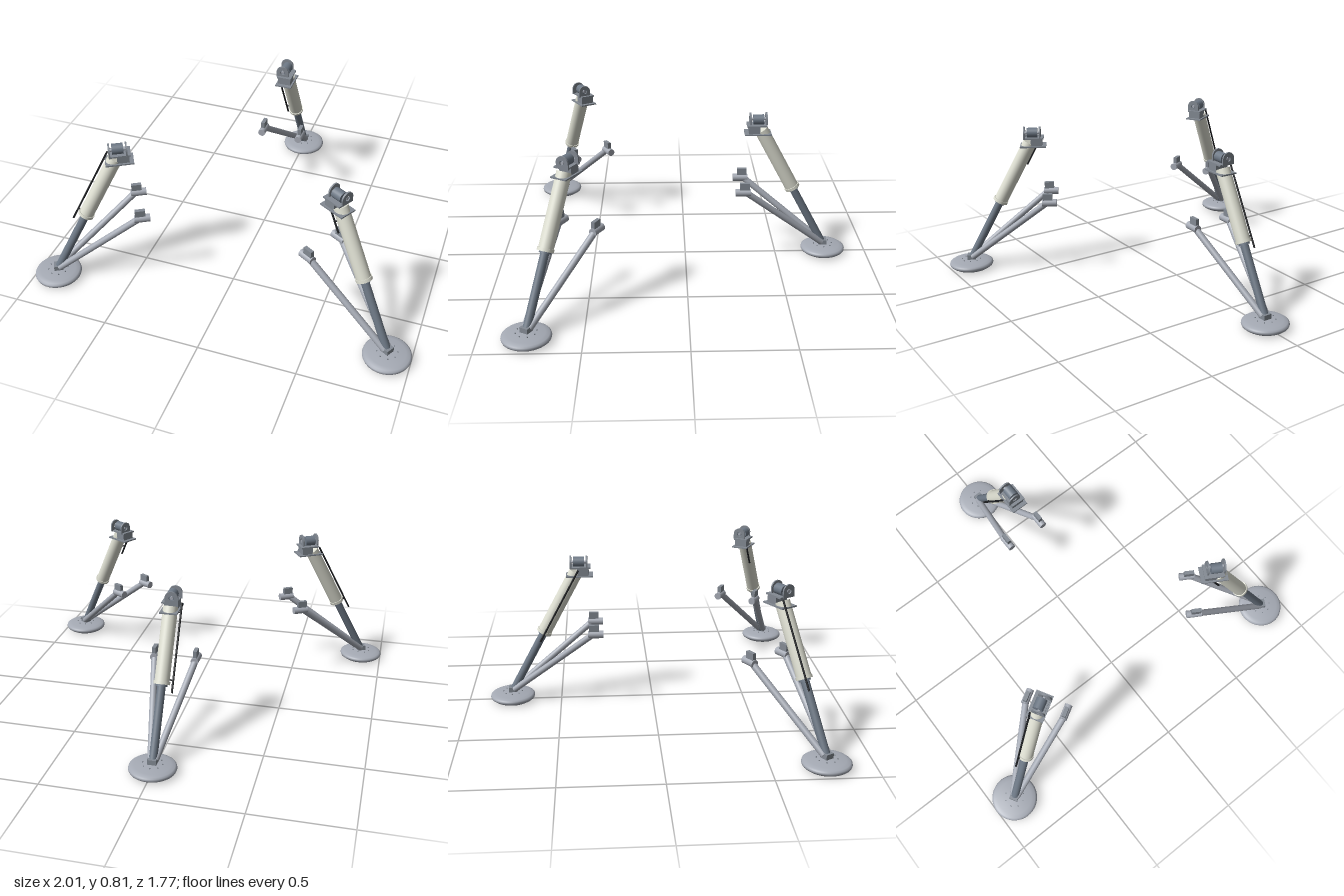
import * as THREE from 'three';

const mat = (name, color) => new THREE.MeshStandardMaterial({ name, color });
const V = (x, y, z) => new THREE.Vector3(x, y, z);
const UP = V(0, 1, 0);

export function createModel() {
  const lightGrey = mat('light grey', 0xa5aab4);
  const steel = mat('piston steel', 0x6e7986);
  const white = mat('sleeve white', 0xdedfd2);
  const bracketGrey = mat('bracket grey', 0x838a93);
  const black = mat('hose black', 0x1d1f22);

  const add = (parent, name, geometry, material, pos) => {
    const mesh = new THREE.Mesh(geometry, material);
    mesh.name = name;
    if (pos) mesh.position.copy(pos);
    parent.add(mesh);
    return mesh;
  };
  const box = (parent, name, w, h, d, material, pos) =>
    add(parent, name, new THREE.BoxGeometry(w, h, d), material, pos);
  // Cylinder running between two points
  const rod = (parent, name, a, b, r, material, sides = 24) => {
    const dir = b.clone().sub(a);
    const mesh = add(parent, name, new THREE.CylinderGeometry(r, r, dir.length(), sides),
      material, a.clone().lerp(b, 0.5));
    mesh.quaternion.setFromUnitVectors(UP, dir.normalize());
    return mesh;
  };

  // Main strut axis
  const foot = V(0, 0.045, -0.765), head = V(0, 0.74, -0.39);
  const along = (t) => foot.clone().lerp(head, t);

  // Foot pad profile: flat sole, rounded rim, shallow domed top
  const padProfile = [[0, 0.004], [0.095, 0.004], [0.108, 0.007], [0.117, 0.014], [0.12, 0.022],
    [0.118, 0.03], [0.11, 0.036], [0.09, 0.041], [0.045, 0.046], [0, 0.048]]
    .map(([x, y]) => new THREE.Vector2(x, y));

  // Round-topped lug with a pin hole
  const lugShape = new THREE.Shape();
  lugShape.moveTo(-0.034, -0.03);
  lugShape.lineTo(0.034, -0.03);
  lugShape.lineTo(0.034, 0);
  lugShape.absarc(0, 0, 0.034, 0, Math.PI, false);
  lugShape.closePath();
  lugShape.holes.push(new THREE.Path().absarc(0, 0, 0.013, 0, Math.PI * 2, true));
  const lugGeo = new THREE.ExtrudeGeometry(lugShape, { depth: 0.008, bevelEnabled: false, curveSegments: 16 });

  function makeLeg(angle, hoseStart) {
    const pivot = new THREE.Group();
    pivot.name = 'leg';
    pivot.position.z = 0.255;
    pivot.rotation.y = angle;
    const leg = new THREE.Group();
    leg.name = 'legParts';
    leg.position.z = -0.255;
    pivot.add(leg);

    // Foot pad with sole, hub and bolts
    add(leg, 'footPad', new THREE.LatheGeometry(padProfile, 48), lightGrey, V(0, 0, -0.765));
    add(leg, 'footSole', new THREE.CylinderGeometry(0.1, 0.096, 0.006, 48), bracketGrey, V(0, 0.003, -0.765));
    box(leg, 'footHub', 0.045, 0.03, 0.045, bracketGrey, V(0, 0.058, -0.762));
    for (let i = 0; i < 8; i++) {
      const a = i * Math.PI / 4;
      add(leg, 'footBolt', new THREE.CylinderGeometry(0.0035, 0.0035, 0.006, 6), bracketGrey,
        V(Math.sin(a) * 0.05, 0.046, -0.765 + Math.cos(a) * 0.05));
    }

    // Telescopic strut
    rod(leg, 'piston', along(0), along(0.6), 0.021, steel);
    rod(leg, 'sleeve', along(0.5), along(0.97), 0.037, white, 32);
    rod(leg, 'sleeveCollar', along(0.487), along(0.507), 0.041, white, 32);
    rod(leg, 'sleeveGland', along(0.475), along(0.49), 0.029, steel);

    // Head bracket with lugs and bearing
    box(leg, 'headPlate', 0.09, 0.007, 0.14, bracketGrey, V(0, 0.702, -0.384));
    box(leg, 'headBlock', 0.07, 0.045, 0.06, bracketGrey, V(0, 0.725, -0.365));
    box(leg, 'lugBase', 0.078, 0.008, 0.105, bracketGrey, V(0, 0.747, -0.378));
    for (const z of [-0.349, -0.433]) add(leg, 'headLug', lugGeo, bracketGrey, V(-0.012, 0.775, z));
    rod(leg, 'headBearing', V(-0.004, 0.774, -0.415), V(-0.004, 0.774, -0.359), 0.027, steel);
    rod(leg, 'headPin', V(-0.012, 0.775, -0.431), V(-0.012, 0.775, -0.343), 0.008, lightGrey, 16);

    // Pair of lower braces with end fittings
    for (const s of [-1, 1]) {
      const x = s * 0.107;
      rod(leg, 'brace', V(s * 0.012, 0.06, -0.755), V(x, 0.4, -0.325), 0.017, lightGrey);
      rod(leg, 'braceEnd', V(x, 0.403, -0.345), V(x, 0.403, -0.265), 0.02, lightGrey);
      box(leg, 'braceTab', 0.02, 0.06, 0.052, bracketGrey, V(x, 0.426, -0.314));
    }

    // Hose on the same world side of every leg
    const side = V(-0.055, 0, 0).applyAxisAngle(UP, -angle);
    const at = (t) => along(t).add(side);
    rod(leg, 'hose', at(hoseStart), at(1), 0.005, black, 10);
    for (const t of [hoseStart + 0.08, 0.94]) rod(leg, 'hoseClip', along(t), at(t), 0.004, black, 8);
    return pivot;
  }

  const model = new THREE.Group();
  model.name = 'landingLegs';
  // Back leg, then the two front legs; the last has a shorter hose
  [0.44, 0.44, 0.78].forEach((hoseStart, i) => model.add(makeLeg(i * Math.PI * 2 / 3, hoseStart)));
  return model;
}
